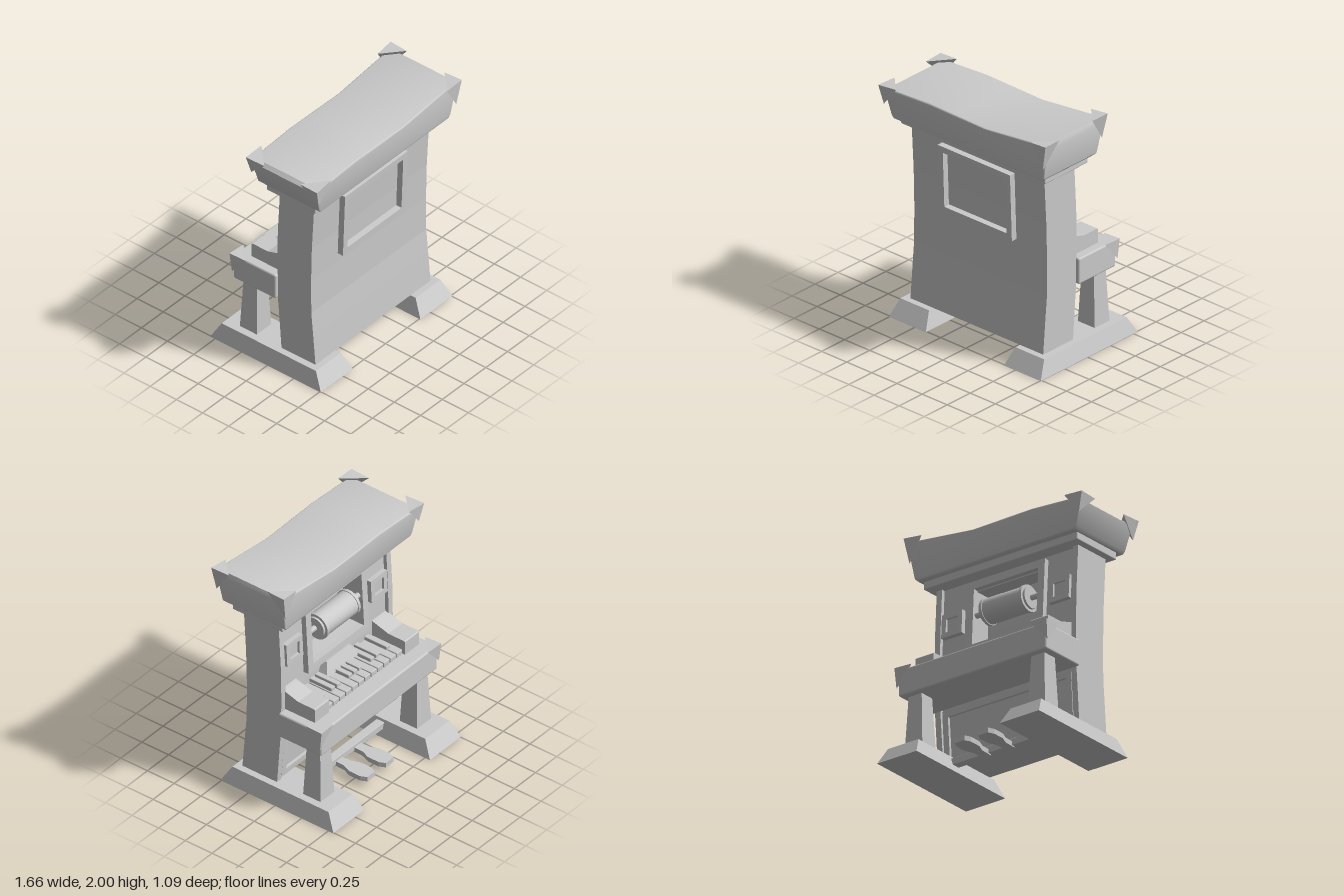
import * as THREE from 'three';
import { toCreasedNormals } from 'three/addons/utils/BufferGeometryUtils.js';
import { RoundedBoxGeometry } from 'three/addons/geometries/RoundedBoxGeometry.js';
import { ConvexGeometry } from 'three/addons/geometries/ConvexGeometry.js';

export function createModel() {
  const root = new THREE.Group();
  const mat = new THREE.MeshStandardMaterial({ color: 0xcccccc });
  const flat = new THREE.MeshStandardMaterial({ color: 0xcccccc, flatShading: true });

  const add = (name, geo, x = 0, y = 0, z = 0, m = mat) => {
    const mesh = new THREE.Mesh(geo, m);
    mesh.name = name;
    mesh.position.set(x, y, z);
    root.add(mesh);
    return mesh;
  };
  const shapeOf = pts => new THREE.Shape(pts.map(p => new THREE.Vector2(p[0], p[1])));
  // box given by its limits
  const box = (name, x0, x1, y0, y1, z0, z1, r = 0.008) =>
    add(name, new RoundedBoxGeometry(x1 - x0, y1 - y0, z1 - z0, 2, r),
      (x0 + x1) / 2, (y0 + y1) / 2, (z0 + z1) / 2);
  // side profile of [z, y] points, extruded across x
  const across = (name, pts, x0, x1) => {
    const geo = new THREE.ExtrudeGeometry(shapeOf(pts.map(([z, y]) => [-z, y])),
      { depth: x1 - x0, bevelEnabled: false });
    geo.rotateY(Math.PI / 2).translate(x0, 0, 0);
    geo.scale(1, 1, 1);
    return add(name, geo);
  };
  // block whose bottom and top are different rectangles [x0, x1, z0, z1]
  const taper = (name, y0, y1, b, t) => {
    const pts = [];
    for (const [y, r] of [[y0, b], [y1, t]])
      for (const x of [r[0], r[1]]) for (const z of [r[2], r[3]]) pts.push(new THREE.Vector3(x, y, z));
    return add(name, new ConvexGeometry(pts), 0, 0, 0, flat);
  };
  // rectangular picture frame, centred on its own origin
  const frame = (name, w, h, border, depth, x, y, z, tilt) => {
    const rect = (a, b) => [[-a, -b], [a, -b], [a, b], [-a, b]];
    const s = shapeOf(rect(w / 2, h / 2));
    s.holes.push(shapeOf(rect(w / 2 - border, h / 2 - border)));
    const geo = new THREE.ExtrudeGeometry(s, { depth, bevelEnabled: false }).translate(0, 0, -depth / 2);
    add(name, geo, x, y, z).rotation.x = tilt;
  };

  // curved cabinet: depth limits at each height
  const levels = [[0.14, 0.38, 0.055], [0.4, 0.358, 0.036], [0.6, 0.34, 0.02], [0.9, 0.338, 0.015],
    [1.2, 0.345, 0.02], [1.6, 0.368, 0.042]];
  const at = (y, k) => {
    let i = 1;
    while (i < levels.length - 1 && levels[i][0] < y) i++;
    const a = levels[i - 1], b = levels[i];
    return THREE.MathUtils.lerp(a[k], b[k], (y - a[0]) / (b[0] - a[0]));
  };
  const wall = (name, x0, x1, y0, y1, fore, aft) => {
    const ys = [y0, ...levels.map(l => l[0]).filter(y => y > y0 && y < y1), y1];
    across(name, [...ys.map(y => [fore(y), y]), ...ys.reverse().map(y => [aft(y), y])], x0, x1);
  };
  const front = y => at(y, 1), rear = y => at(y, 2);
  const inset = d => y => at(y, 2) + d;
  wall('cabinetSide', 0.61, 0.66, 0.14, 1.6, front, rear);
  wall('cabinetSide', -0.66, -0.61, 0.14, 1.6, front, rear);
  wall('cabinetFront', -0.61, 0.61, 0.14, 1.6, front, inset(0.17));
  // keyboard-side panel, left open for the roll window
  wall('lowerPanel', -0.61, 0.61, 0.14, 1.04, inset(0.17), inset(0.03));
  wall('upperPanel', -0.61, 0.61, 1.49, 1.6, inset(0.17), inset(0.03));
  for (const s of [-1, 1])
    wall('windowSidePanel', s < 0 ? -0.61 : 0.3, s < 0 ? -0.3 : 0.61, 1.04, 1.49, inset(0.17), inset(0.03));

  // frames
  frame('frontFrame', 0.72, 0.555, 0.05, 0.05, 0, 1.257, 0.378, 0.037);
  frame('windowFrame', 0.72, 0.58, 0.06, 0.05, 0, 1.27, 0.037, 0.055);
  frame('kneePanelFrame', 1.2, 0.44, 0.05, 0.03, 0, 0.37, 0.06, -0.07);
  for (const s of [-1, 1]) {
    frame('sidePanelFrame', 0.19, 0.19, 0.04, 0.05, s * 0.5, 1.27, 0.04, 0.05);
    box('sidePanelInset', s * 0.5 - 0.06, s * 0.5 + 0.06, 1.21, 1.33, 0.035, 0.06, 0.004);
  }

  // paper roll on its spindle
  const rod = (name, r, x0, x1) =>
    add(name, toCreasedNormals(new THREE.CylinderGeometry(r, r, x1 - x0, 28).rotateZ(Math.PI / 2), 0.6),
      (x0 + x1) / 2, 1.293, 0.055);
  rod('rollPaper', 0.1, -0.18, 0.18);
  rod('rollSpindle', 0.022, -0.31, 0.31);
  for (const s of [-1, 1]) {
    rod('rollFlange', 0.107, s * 0.185 - 0.012, s * 0.185 + 0.012);
    rod('rollHub', 0.085, s * 0.203 - 0.012, s * 0.203 + 0.012);
  }

  // cornice and swaying tapered lid
  box('cornice', -0.716, 0.72, 1.59, 1.655, -0.042, 0.425);
  const lid = new THREE.ExtrudeGeometry(shapeOf([[-0.725, 1.66], [0.735, 1.66], [0.75, 1.675], [0.795, 1.93],
    [0.785, 1.957], [0.2, 1.892], [-0.1, 1.898], [-0.35, 1.902], [-0.77, 1.878], [-0.79, 1.86], [-0.74, 1.675]]),
  { depth: 0.57, bevelThickness: 0.012, bevelSize: 0.012, bevelSegments: 3 });
  lid.translate(0, 0, -0.285);
  const p = lid.attributes.position;
  for (let i = 0; i < p.count; i++)
    p.setZ(i, p.getZ(i) * (0.985 + 0.08 * Math.min(1, (p.getY(i) - 1.65) / 0.25)) + 0.196);
  add('lid', toCreasedNormals(lid, 0.6));

  // pointed corner guards: tip, two arms along the edges and one downward
  const guard = (x, y, z, sx, sz, arm, drop, slope, lean) =>
    add('cornerGuard', new ConvexGeometry([
      new THREE.Vector3(x, y, z),
      new THREE.Vector3(x - sx * arm, y + slope, z - sz * 0.008),
      new THREE.Vector3(x - sx * 0.008, y - 0.003, z - sz * arm),
      new THREE.Vector3(x - sx * lean, y - drop, z - sz * 0.018)]), 0, 0, 0, flat);
  for (const [z, sz] of [[0.54, 1], [-0.14, -1]]) {
    guard(-0.835, 1.912, z, -1, sz, 0.17, 0.15, 0.014, 0.04);
    guard(0.828, sz > 0 ? 1.98 : 2, z, 1, sz, 0.16, 0.21, -0.015, 0.042);
  }
  for (const s of [-1, 1]) guard(s * 0.71, 0.82, -0.4, s, -1, 0.15, 0.16, -0.003, 0.006);

  // key bed, cheeks and music ledge
  box('keyBed', -0.69, 0.69, 0.59, 0.805, -0.38, 0.022, 0.015);
  for (const s of [-1, 1])
    across('keyCheek', [[0.06, 0.8], [0.06, 0.975], [0.02, 0.965], [-0.11, 0.925], [-0.257, 0.925],
      [-0.265, 0.917], [-0.265, 0.8]], s < 0 ? -0.617 : 0.45, s < 0 ? -0.45 : 0.617);
  taper('musicLedge', 0.86, 0.96, [-0.19, 0.19, -0.04, 0.06], [-0.14, 0.14, 0, 0.06]);

  // keys
  box('keySlip', -0.45, 0.45, 0.8, 0.822, -0.235, 0.05);
  const pitch = 0.9 / 12;
  for (let i = 0; i < 12; i++) {
    const x = -0.45 + (i + 0.5) * pitch;
    box('whiteKey', x - 0.034, x + 0.034, 0.805, 0.848, -0.245, 0.05, 0.006);
  }
  for (const x of [-0.386, -0.262, -0.198, -0.058, 0, 0.06, 0.2, 0.265, 0.386])
    box('blackKey', x - 0.022, x + 0.022, 0.84, 0.878, -0.16, 0.05, 0.006);

  // feet and legs
  for (const s of [-1, 1]) {
    taper('foot', 0.005, 0.14, [s * 0.755, s * 0.388, -0.547, 0.51], [s * 0.715, s * 0.43, -0.47, 0.43]);
    taper('leg', 0.14, 0.6, [s * 0.655, s * 0.49, -0.347, -0.185], [s * 0.633, s * 0.512, -0.327, -0.203]);
  }

  // pedal rail and pedals
  box('pedalRail', -0.44, 0.44, 0.065, 0.12, -0.09, -0.02, 0.004);
  for (const s of [-1, 1]) {
    const pedal = new THREE.ExtrudeGeometry(shapeOf([[-0.035, 0.06], [0.035, 0.06], [0.04, 0.17], [0.068, 0.24],
      [0.068, 0.34], [0.045, 0.39], [-0.045, 0.39], [-0.068, 0.34], [-0.068, 0.24], [-0.04, 0.17]]),
    { depth: 0.04, bevelEnabled: false });
    add('pedal', pedal.rotateX(-Math.PI / 2), s * 0.11, 0.055, 0);
  }
  return root;
}
